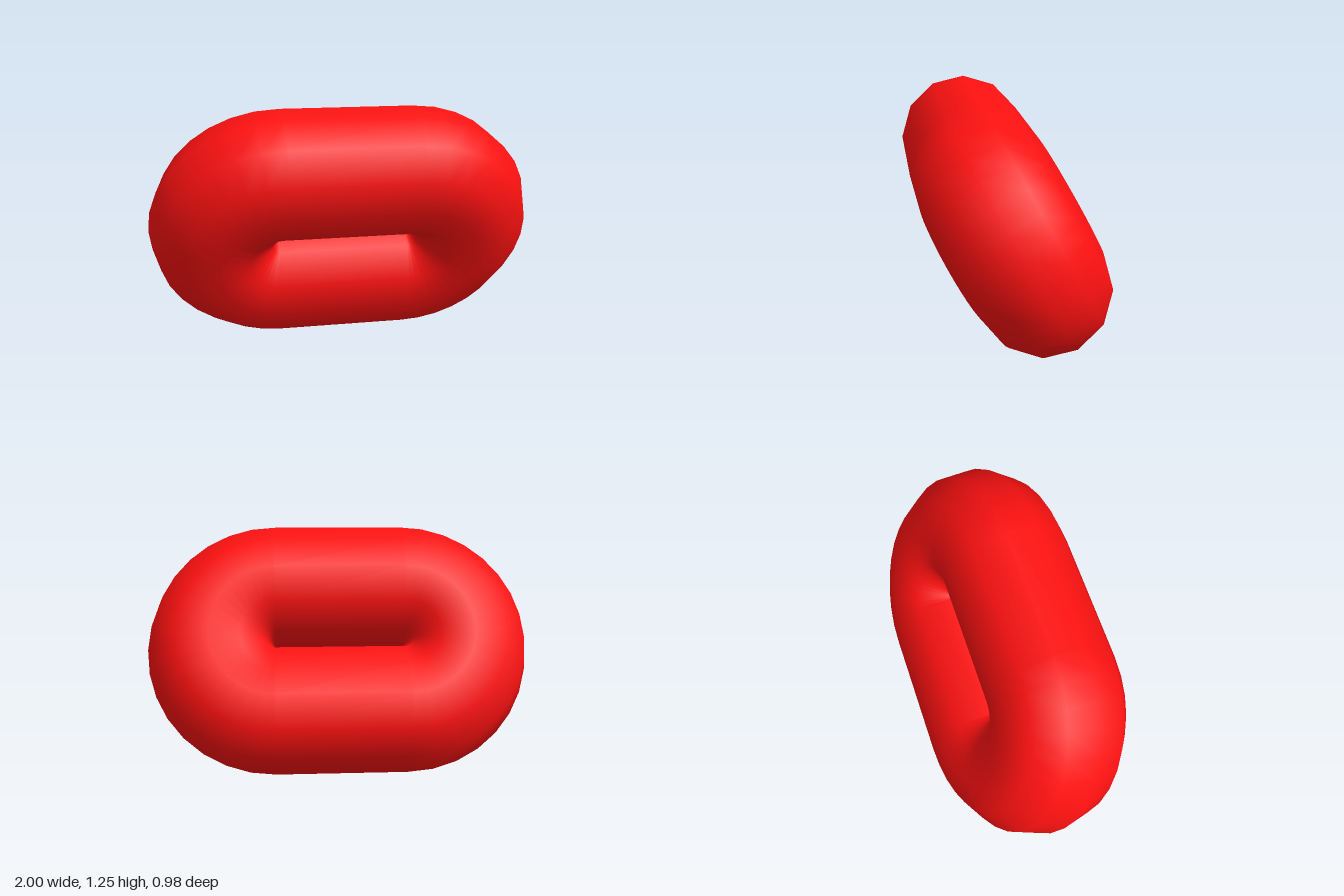
import * as THREE from 'three';

const BEND = 1 / 3; // radius of the end bends, along the tube centre line
const TUBE = 1 / 3; // radius of the tube
const HALF = 1 / 3; // half length of the straight runs
const BEND_STEPS = 16;
const SIDES = 12;
const TILT = THREE.MathUtils.degToRad(28);

// Tube swept round a closed stadium path, with smooth normals
function linkGeometry() {
  const positions = [], normals = [], index = [];
  const stations = [];
  for (const side of [1, -1]) {
    for (let i = 0; i <= BEND_STEPS; i++) {
      const t = -Math.PI / 2 + (i / BEND_STEPS) * Math.PI + (side < 0 ? Math.PI : 0);
      stations.push({ x: side * HALF, dx: Math.cos(t), dy: Math.sin(t) });
    }
  }
  stations.push(stations[0]);

  for (const { x, dx, dy } of stations) {
    for (let j = 0; j <= SIDES; j++) {
      const a = (j / SIDES) * Math.PI * 2;
      const c = Math.cos(a), s = Math.sin(a);
      const reach = BEND + TUBE * c;
      positions.push(x + dx * reach, dy * reach, TUBE * s);
      normals.push(dx * c, dy * c, s);
    }
  }

  const row = SIDES + 1;
  for (let i = 0; i < stations.length - 1; i++) {
    for (let j = 0; j < SIDES; j++) {
      const a = i * row + j, b = a + row;
      index.push(a, b, b + 1, a, b + 1, a + 1);
    }
  }

  const geometry = new THREE.BufferGeometry();
  geometry.setAttribute('position', new THREE.Float32BufferAttribute(positions, 3));
  geometry.setAttribute('normal', new THREE.Float32BufferAttribute(normals, 3));
  geometry.setIndex(index);
  return geometry;
}

export function createModel() {
  const group = new THREE.Group();
  group.name = 'chainLinkModel';

  // Single fat link, leaning with its top towards the front
  const geometry = linkGeometry();
  geometry.rotateX(TILT);
  geometry.computeBoundingBox();
  geometry.translate(0, -geometry.boundingBox.min.y, 0);

  const link = new THREE.Mesh(geometry, new THREE.MeshStandardMaterial({ color: 0xff1111 }));
  link.name = 'chainLink';
  group.add(link);
  return group;
}
